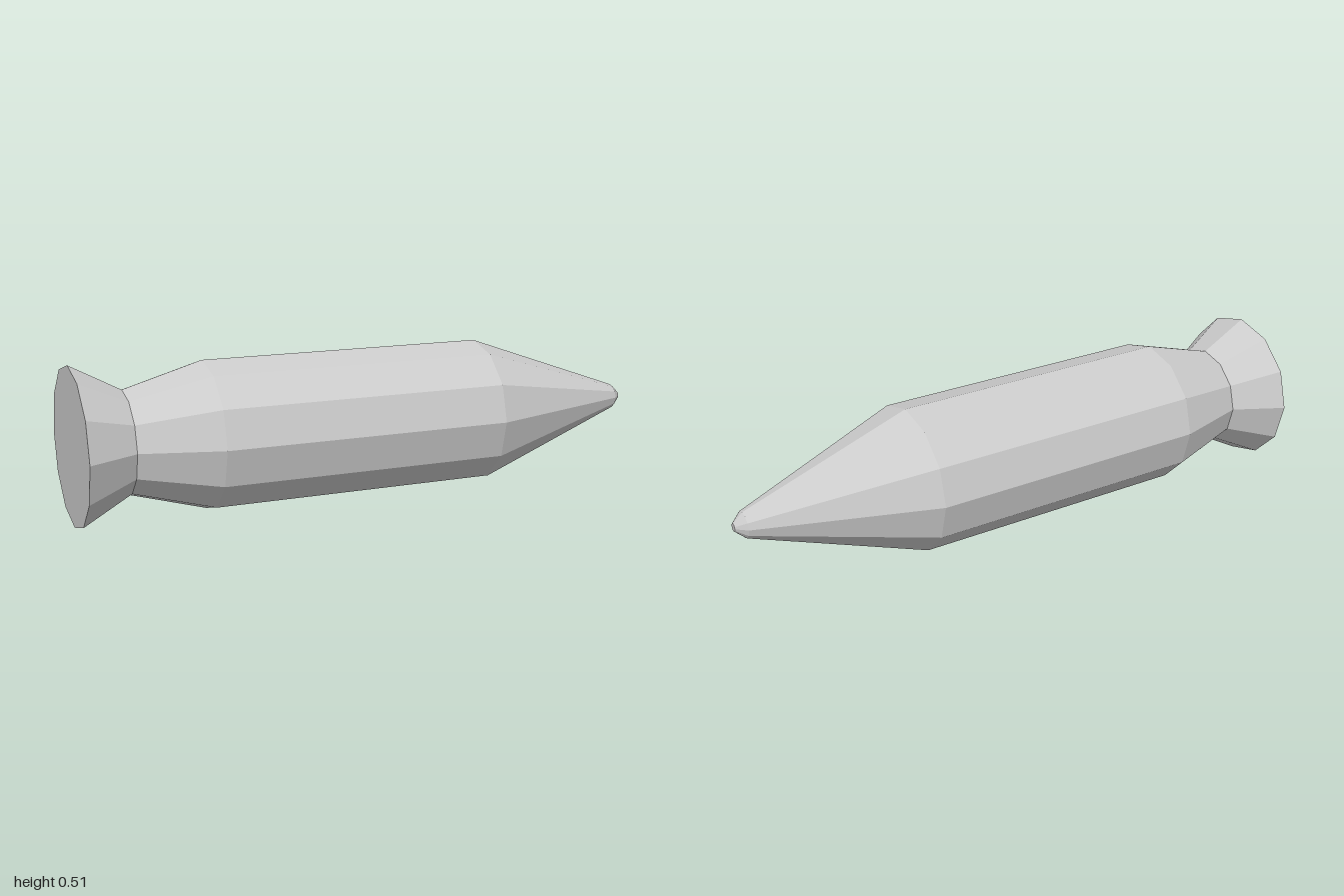
import * as THREE from 'three';

const SIDES = 12;
const AXIS_Y = 0.258;

// Revolve [x, radius] stations around the long axis
function turned(name, stations, material) {
  const points = stations.map(([x, r]) => new THREE.Vector2(r, x));
  const geometry = new THREE.LatheGeometry(points, SIDES);
  geometry.rotateZ(-Math.PI / 2);
  const mesh = new THREE.Mesh(geometry, material);
  mesh.name = name;
  mesh.position.y = AXIS_Y;
  return mesh;
}

export function createModel() {
  const group = new THREE.Group();
  group.name = 'projectile';
  const material = new THREE.MeshStandardMaterial({ color: 0xcccccc, flatShading: true });

  // Flared tail with a flat rear face
  group.add(turned('tailFlare', [[-1, 0], [-1, 0.257], [-0.835, 0.168]], material));

  // Faceted body: boat tail, straight barrel and long nose cone
  group.add(turned('body', [[-0.835, 0.168], [-0.575, 0.243], [0.4, 0.243], [0.968, 0.043]], material));

  // Small blunt tip
  group.add(turned('noseTip', [[0.968, 0.043], [1, 0.013], [1, 0]], material));

  return group;
}
